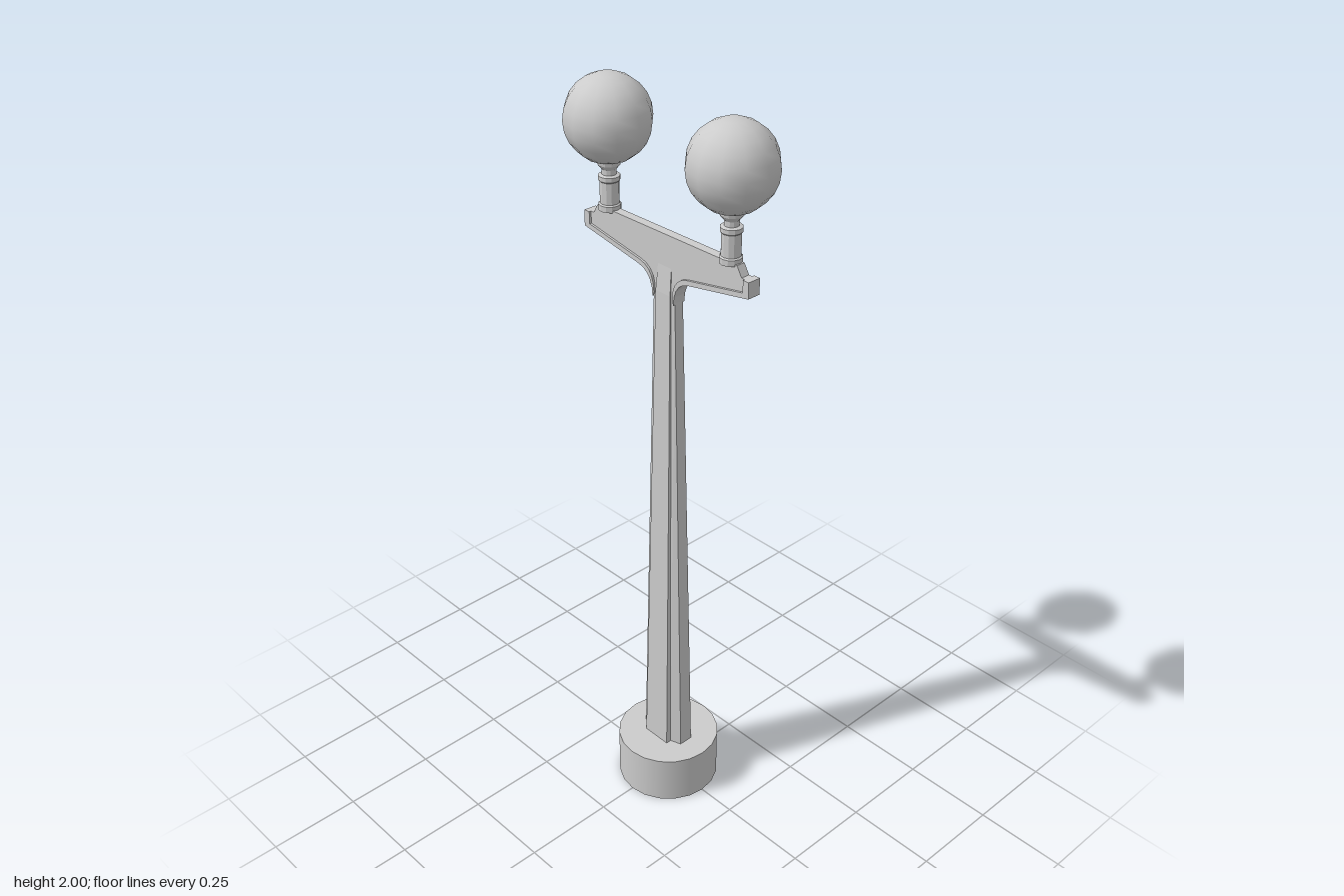
import * as THREE from 'three';

const grey = new THREE.MeshStandardMaterial({ color: 0xcccccc, side: THREE.DoubleSide });
const flat = new THREE.MeshStandardMaterial({ color: 0xcccccc, side: THREE.DoubleSide, flatShading: true });

function add(parent, name, geometry, material = grey) {
  const mesh = new THREE.Mesh(geometry, material);
  mesh.name = name;
  parent.add(mesh);
  return mesh;
}

// Mirror quarter-section corners into a closed ring
function ring(quarter) {
  const back = [...quarter].reverse();
  return [
    ...quarter,
    ...back.map(([x, z]) => [-x, z]),
    ...quarter.map(([x, z]) => [-x, -z]),
    ...back.map(([x, z]) => [x, -z]),
  ];
}

// Skin a list of [y, quarter-section] levels
function loft(levels) {
  const pos = [];
  const idx = [];
  const rings = levels.map(([y, q]) => ring(q).map(([x, z]) => [x, y, z]));
  const n = rings[0].length;
  rings.forEach((r) => r.forEach((p) => pos.push(...p)));
  for (let l = 0; l < rings.length - 1; l++) {
    for (let i = 0; i < n; i++) {
      const a = l * n + i;
      const b = l * n + (i + 1) % n;
      idx.push(a, a + n, b, b, a + n, b + n);
    }
  }
  const g = new THREE.BufferGeometry();
  g.setAttribute('position', new THREE.Float32BufferAttribute(pos, 3));
  g.setIndex(idx);
  const out = g.toNonIndexed();
  out.computeVertexNormals();
  return out;
}

// Extrude a symmetrical outline given by its right half, centred on z = 0
function symmetricPlate(half, depth) {
  const pts = [...half, ...[...half].reverse().map(([x, y]) => [-x, y])];
  const shape = new THREE.Shape(pts.map(([x, y]) => new THREE.Vector2(x, y)));
  return new THREE.ExtrudeGeometry(shape, { depth, bevelEnabled: false }).translate(0, 0, -depth / 2);
}

function lathe(points, sides) {
  return new THREE.LatheGeometry(points.map(([r, y]) => new THREE.Vector2(r, y)), sides);
}

export function createModel() {
  const model = new THREE.Group();
  model.name = 'twinStreetLamp';

  // Round footing, open underneath
  const base = new THREE.Group();
  base.name = 'base';
  model.add(base);
  add(base, 'baseWall', new THREE.CylinderGeometry(0.14, 0.14, 0.14, 20, 1, true).translate(0, 0.07, 0));
  add(base, 'baseTop', new THREE.CircleGeometry(0.14, 20).rotateX(-Math.PI / 2).translate(0, 0.14, 0));

  // Tapered post with raised front and back ribs
  add(model, 'post', loft([
    [0.14, [[0.072, 0.02], [0.042, 0.031], [0.042, 0.046]]],
    [1.52, [[0.036, 0.013], [0.025, 0.015], [0.025, 0.018]]],
    [1.6, [[0.03, 0.01], [0.022, 0.01], [0.022, 0.011]]],
  ]), flat);

  // Underside of the crossarm, sweeping down into the post
  const bend = new THREE.QuadraticBezierCurve(
    new THREE.Vector2(0.085, 1.569), new THREE.Vector2(0.037, 1.56), new THREE.Vector2(0.036, 1.5));
  const lower = [[0.278, 1.604], ...bend.getPoints(5).map((p) => [p.x, p.y])];
  const web = [[0.235, 1.67], [0.25, 1.645], [0.275, 1.645], ...lower];
  add(model, 'crossarmWeb', symmetricPlate(web, 0.024), flat);

  // Thicker lip along the underside and upright lips at both ends
  for (const side of [-1, 1]) {
    const lip = [...lower, ...[...lower].reverse().map(([x, y]) => [x - 0.005, y + 0.012])];
    const shape = new THREE.Shape(lip.map(([x, y]) => new THREE.Vector2(x * side, y)));
    const name = side > 0 ? 'left' : 'right';
    add(model, name + 'CrossarmLip',
      new THREE.ExtrudeGeometry(shape, { depth: 0.036, bevelEnabled: false }).translate(0, 0, -0.018), flat);
    add(model, name + 'CrossarmEnd', new THREE.BoxGeometry(0.018, 0.041, 0.036), flat)
      .position.set(side * 0.269, 1.6245, 0);

    // Lamp: collar, neck and globe
    const lamp = new THREE.Group();
    lamp.name = name + 'Lamp';
    lamp.position.x = side * 0.204;
    model.add(lamp);
    add(lamp, 'collar', lathe([
      [0, 1.665], [0.028, 1.665], [0.028, 1.68], [0.024, 1.683], [0.024, 1.738],
      [0.027, 1.741], [0.027, 1.752], [0.018, 1.755], [0.018, 1.768], [0.028, 1.78], [0.03, 1.792],
    ], 12), flat);
    add(lamp, 'globe', new THREE.SphereGeometry(0.108, 12, 12)).position.y = 1.892;
  }
  return model;
}
